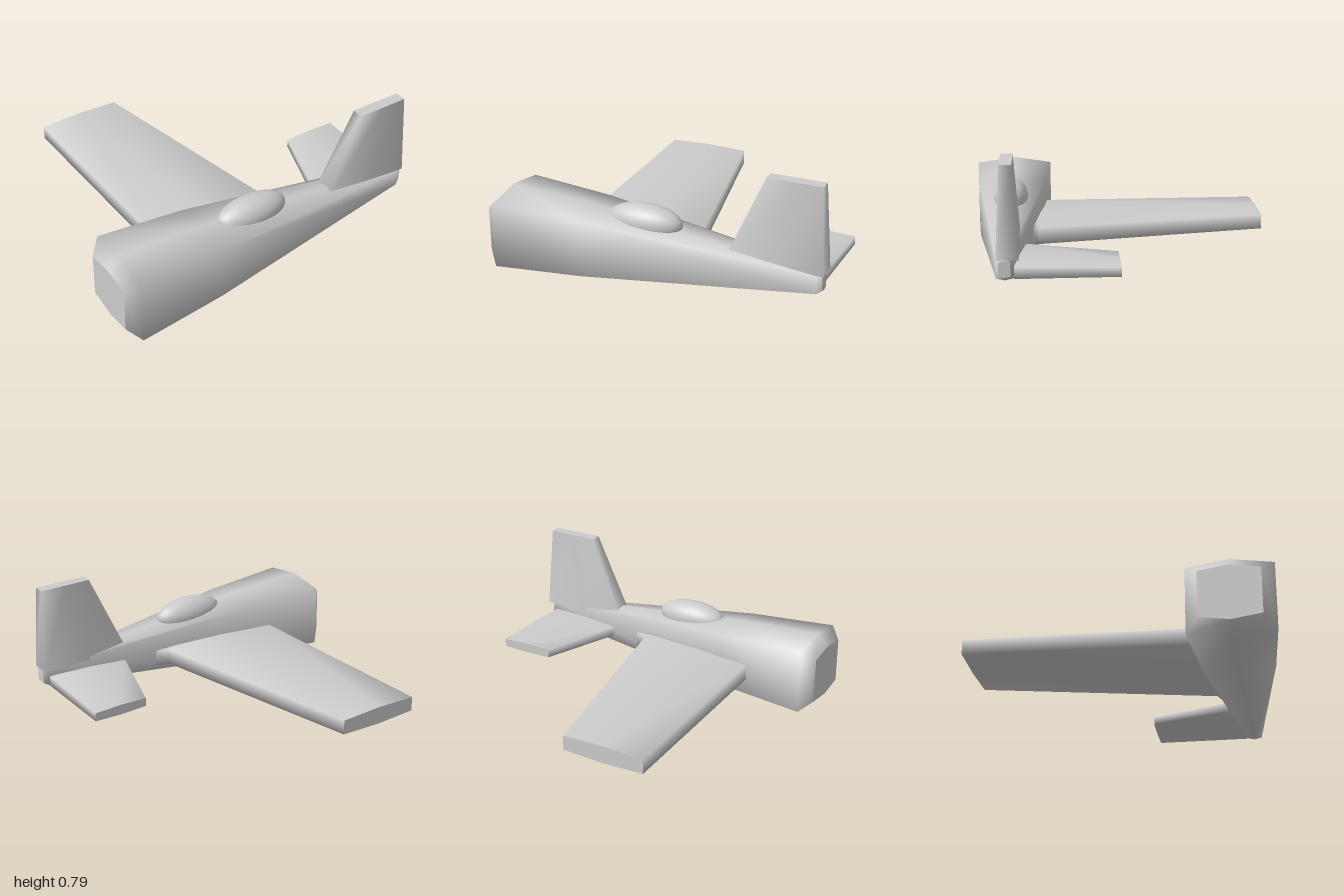
import * as THREE from 'three';

const material = new THREE.MeshStandardMaterial({ color: 0xcccccc });
const X = new THREE.Vector3(1, 0, 0);
const Y = new THREE.Vector3(0, 1, 0);
const Z = new THREE.Vector3(0, 0, 1);

// Smooth loft through six-sided sections: a rectangle whose two long sides
// bulge to a ridge. Each section is [centre, half width, half thickness];
// "side" is the corner thickness as a share of the ridge thickness.
// The sections advance along across x up.
function loft(name, across, up, side, sections) {
  const pos = [];
  const index = [];
  const outline = [[1, side], [0, 1], [-1, side], [-1, -side], [0, -1], [1, -side]];
  const addRing = ([centre, a, b]) => {
    const start = pos.length / 3;
    for (const [u, v] of outline) {
      const p = new THREE.Vector3(...centre)
        .addScaledVector(across, u * a)
        .addScaledVector(up, v * b);
      pos.push(p.x, p.y, p.z);
    }
    return start;
  };

  // skin
  const rings = sections.map(addRing);
  for (let i = 0; i + 1 < rings.length; i++) {
    for (let j = 0; j < 6; j++) {
      const k = (j + 1) % 6;
      const [p, q] = [rings[i], rings[i + 1]];
      index.push(p + j, p + k, q + k, p + j, q + k, q + j);
    }
  }
  // flat end caps with their own vertices
  const first = addRing(sections[0]);
  const last = addRing(sections[sections.length - 1]);
  for (let j = 1; j < 5; j++) {
    index.push(first, first + j + 1, first + j);
    index.push(last, last + j, last + j + 1);
  }

  const geometry = new THREE.BufferGeometry();
  geometry.setAttribute('position', new THREE.Float32BufferAttribute(pos, 3));
  geometry.setIndex(index);
  geometry.computeVertexNormals();
  const mesh = new THREE.Mesh(geometry, material);
  mesh.name = name;
  return mesh;
}

// Section of a flying surface from its leading and trailing x
const chord = (x0, x1, y, z, half) => [[(x0 + x1) / 2, y, z], (x1 - x0) / 2, half];

export function createModel() {
  const model = new THREE.Group();
  model.name = 'aeroplane';

  // fuselage, nose at -x and tail at +x
  model.add(loft('fuselage', Z.clone().negate(), Y, 0.84, [
    [[-1, 0.24, 0.645], 0.17, 0.16],
    [[-0.93, 0.238, 0.645], 0.24, 0.233],
    [[-0.4, 0.24, 0.645], 0.205, 0.2],
    [[0.96, 0.23, 0.65], 0.046, 0.064],
    [[0.99, 0.233, 0.65], 0.032, 0.046],
  ]));

  // single main wing, with a short flare at the root
  model.add(loft('wing', X, Y, 0.82, [
    chord(-0.615, -0.105, 0.207, -0.89, 0.053),
    chord(-0.563, 0.18, 0.206, 0.475, 0.06),
    chord(-0.56, 0.26, 0.206, 0.505, 0.061),
  ]));

  // tailplane on the same side
  model.add(loft('tailplane', X, Y, 0.82, [
    chord(0.63, 0.965, 0.203, 0.03, 0.031),
    chord(0.445, 0.955, 0.203, 0.6, 0.039),
  ]));

  // upright tail fin
  model.add(loft('tailFin', X, Z.clone().negate(), 0.94, [
    chord(0.43, 0.997, 0.284, 0.635, 0.064),
    chord(0.655, 0.973, 0.79, 0.638, 0.035),
  ]));

  // canopy
  const canopy = new THREE.Mesh(new THREE.SphereGeometry(1, 32, 20), material);
  canopy.name = 'canopy';
  canopy.scale.set(0.225, 0.1, 0.102);
  canopy.position.set(-0.073, 0.395, 0.643);
  model.add(canopy);

  return model;
}
